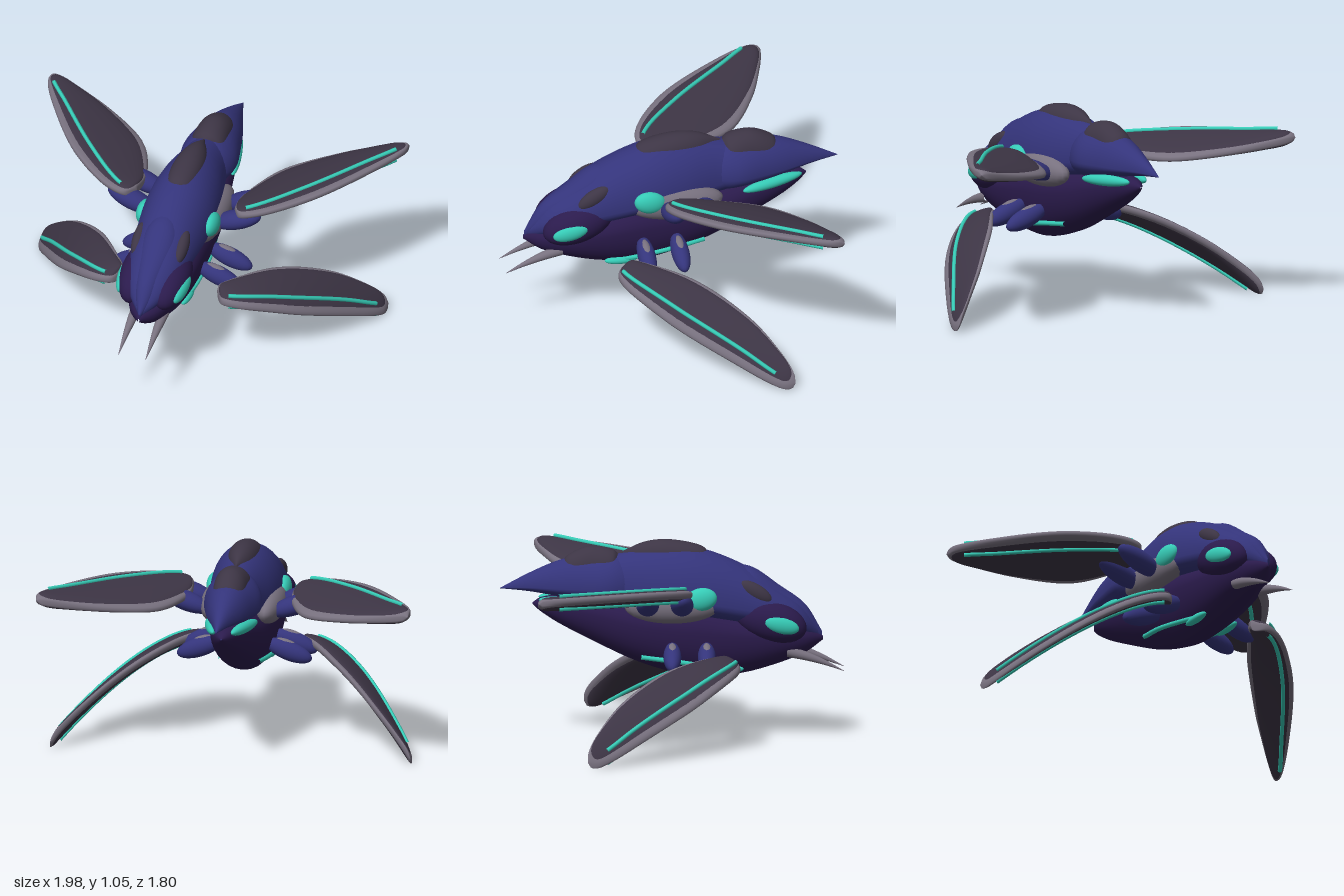
import * as THREE from 'three';

const V = (x, y, z) => new THREE.Vector3(x, y, z);

// Skin over rings of points; point(t, angle) is swept for t in 0..1
function sweep(point, rows, cols) {
  const pos = [], index = [];
  for (let i = 0; i <= rows; i++) {
    for (let j = 0; j < cols; j++) {
      const p = point(i / rows, (j / cols) * Math.PI * 2);
      pos.push(p.x, p.y, p.z);
      if (i === rows) continue;
      const a = i * cols + j, b = i * cols + (j + 1) % cols;
      index.push(a, a + cols, b + cols, a, b + cols, b);
    }
  }
  const g = new THREE.BufferGeometry();
  g.setAttribute('position', new THREE.Float32BufferAttribute(pos, 3));
  g.setIndex(index);
  g.computeVertexNormals();
  return g;
}

// Hull from stations, front to back: [z, centre y, half width, height above, depth below]
function hull(stations, x = 0, rows = 40) {
  const main = new THREE.CatmullRomCurve3(stations.map(s => V(s[2], s[1], s[0])));
  const ends = new THREE.CatmullRomCurve3(stations.map(s => V(s[3], s[4], s[0])));
  return sweep((t, a) => {
    const m = main.getPoint(t), e = ends.getPoint(t), s = Math.sin(a);
    return V(x + m.x * Math.cos(a), m.y + s * (s > 0 ? e.x : e.y), m.z);
  }, rows, 32);
}

function ellipsoid(center, radii, rx = 0, ry = 0, rz = 0) {
  return new THREE.SphereGeometry(1, 24, 16).scale(...radii)
    .rotateX(rx).rotateY(ry).rotateZ(rz).translate(...center);
}

function mirrored(geometry) {
  const g = geometry.clone().scale(-1, 1, 1);
  const ix = g.index.array;
  for (let i = 0; i < ix.length; i += 3) [ix[i], ix[i + 1]] = [ix[i + 1], ix[i]];
  g.computeVertexNormals();
  return g;
}

// Wing plan as matching (x, z) points on the leading and trailing edges
const plan = pts => new THREE.CatmullRomCurve3(pts.map(p => V(p[0], 0, p[1])));
const leading = plan([[.27, .04], [.32, .1], [.42, .088], [.66, -.1], [.9, -.45], [.985, -.62], [1, -.69]]);
const trailing = plan([[.27, .02], [.265, -.08], [.285, -.19], [.39, -.42], [.63, -.592], [.84, -.68], [.97, -.724]]);

// inner: share of the chord cut away along the trailing edge
function wingParts(place, inner) {
  const at = (u, v, h) => {
    const p = trailing.getPoint(u).lerp(leading.getPoint(u), inner + (1 - inner) * v);
    const q = place(p.x, p.z, v);
    q.y += h;
    return q;
  };
  const slab = (u0, u1, width, thick) => sweep((t, a) => {
    const end = Math.sqrt(Math.max(.0004, 1 - Math.pow(Math.abs(2 * t - 1), 12)));
    const s = Math.sin(a);
    const h = Math.sign(s) * Math.pow(Math.abs(s), .6) * thick * end;
    return at(u0 + (u1 - u0) * t, .5 + .5 * width * end * Math.cos(a), h);
  }, 40, 28);
  // Glowing line, bowed inward along the middle of the wing
  const line = h => {
    const pts = [];
    for (let i = 0; i <= 14; i++) {
      pts.push(at(.24 + .56 * i / 14, .83 - .06 * Math.sin(Math.PI * i / 14), h));
    }
    return new THREE.TubeGeometry(new THREE.CatmullRomCurve3(pts), 36, .011, 8);
  };
  return { rim: slab(0, 1, 1, .03), panel: slab(.05, .97, .89, .037), top: line(.034), under: line(-.034) };
}

export function createModel() {
  const model = new THREE.Group();
  model.name = 'wingedBeetle';
  const mat = (name, color) => {
    const m = new THREE.MeshStandardMaterial({ color });
    m.name = name;
    return m;
  };
  const blue = mat('navyBlue', 0x34347b);
  const purple = mat('darkPurple', 0x2b1b4d);
  const dark = mat('charcoal', 0x3d3545);
  const grey = mat('warmGrey', 0x78717f);
  const teal = mat('teal', 0x36cbb6);

  const add = (name, geometry, material) => {
    const mesh = new THREE.Mesh(geometry, material);
    mesh.name = name;
    model.add(mesh);
  };
  const pair = (name, geometry, material) => {
    add(name + 'Left', geometry, material);
    add(name + 'Right', mirrored(geometry), material);
  };

  // Body hulls
  add('upperShell', hull([
    [.77, .56, .01, .01, .03], [.68, .62, .09, .08, .08], [.56, .66, .14, .13, .08],
    [.37, .7, .17, .215, .1], [.13, .74, .19, .265, .1], [-.05, .76, .175, .255, .1],
    [-.25, .78, .13, .2, .09], [-.4, .8, .11, .13, .08], [-.5, .82, .01, .01, .01]]), blue);
  add('tailShell', hull([
    [-.17, .8, .01, .01, .01], [-.22, .8, .11, .13, .09], [-.28, .8, .14, .165, .1],
    [-.36, .8, .152, .17, .09], [-.5, .8, .125, .16, .07], [-.6, .8, .1, .135, .05],
    [-.75, .8, .05, .07, .025], [-.9, .79, .001, .001, .001]]), blue);
  add('headCrest', hull([
    [.785, .55, .004, .01, .02], [.7, .63, .05, .07, .08], [.56, .7, .09, .105, .06],
    [.42, .79, .1, .11, .06], [.33, .83, .07, .08, .05], [.26, .85, .005, .005, .005]]), blue);
  add('lowerBody', hull([
    [.79, .525, .004, .01, .01], [.7, .53, .08, .06, .08], [.55, .54, .13, .1, .15],
    [.37, .55, .15, .12, .21], [.15, .57, .155, .15, .25], [0, .58, .155, .15, .235],
    [-.2, .61, .145, .13, .2], [-.4, .66, .115, .1, .155], [-.6, .7, .075, .055, .09],
    [-.69, .71, .035, .03, .04], [-.73, .71, .004, .004, .004]]), purple);

  // Low back plates hugging the shell
  add('frontBackPlate', hull([
    [.19, .96, .02, .02, .03], [.165, .96, .055, .047, .05], [.1, .96, .077, .07, .05],
    [-.04, .96, .08, .088, .05], [-.15, .955, .06, .078, .05], [-.27, .95, .005, .03, .01]]), dark);
  add('rearBackPlate', hull([
    [-.28, .9, .05, .07, .03], [-.31, .9, .088, .095, .03], [-.43, .9, .09, .113, .03],
    [-.52, .885, .08, .095, .03], [-.56, .88, .06, .07, .03], [-.575, .88, .01, .02, .01]]), dark);

  // Head details
  pair('eyeHood', ellipsoid([.09, .63, .515], [.097, .11, .195], .3), purple);
  pair('eye', ellipsoid([.163, .617, .57], [.03, .045, .097], .27, -.12), teal);
  pair('browPlate', ellipsoid([.117, .785, .435], [.036, .044, .1], .55), dark);
  pair('tusk', hull([
    [.9, .36, .001, .001, .001], [.8, .405, .012, .014, .014],
    [.7, .44, .022, .024, .024], [.6, .465, .028, .03, .03]], .075, 14), grey);

  // Flank details
  pair('sidePlate', ellipsoid([.145, .715, 0], [.077, .09, .25]), grey);
  pair('sideLight', ellipsoid([.185, .757, .15], [.04, .062, .085], -.2), teal);
  pair('tailStripe', ellipsoid([.088, .726, -.53], [.03, .03, .172], .06, .22), teal);
  pair('bellyLight', ellipsoid([.1, .372, .29], [.024, .022, .085], -.05), teal);
  pair('bellyStripe', new THREE.TubeGeometry(new THREE.CatmullRomCurve3([
    V(.1, .378, .3), V(.115, .39, .2), V(.12, .42, 0), V(.1, .438, -.16)]), 24, .013, 8), teal);

  // Two arms hold each wing
  for (const [end, z] of [['Front', .05], ['Rear', -.13]]) {
    pair('upperArm' + end, ellipsoid([.29, .745, z], [.14, .052, .06], 0, 0, .35), blue);
    pair('lowerArm' + end, ellipsoid([.235, .46, z + .13], [.13, .052, .047], 0, 0, -.35), blue);
    pair('lowerArmGuard' + end, ellipsoid([.225, .487, z + .13], [.075, .033, .028], 0, 0, -.35), grey);
  }

  // Raised upper wings and narrower, drooping lower wings
  const upper = (x, z) => V(x, .725 + .22 * x + .1 * z, z);
  const lower = (x, z, v) => {
    const k = Math.max(0, x * .965 - .3) / .65;
    return V(x * .965, .435 - .4 * Math.pow(k, 1.75) + .04 * (.5 - v), z + .25);
  };
  for (const [name, place, inner] of [['upper', upper, 0], ['lower', lower, .4]]) {
    const w = wingParts(place, inner);
    pair(name + 'WingRim', w.rim, grey);
    pair(name + 'WingPanel', w.panel, dark);
    pair(name + 'WingTopLine', w.top, teal);
    pair(name + 'WingUnderLine', w.under, teal);
  }
  return model;
}
